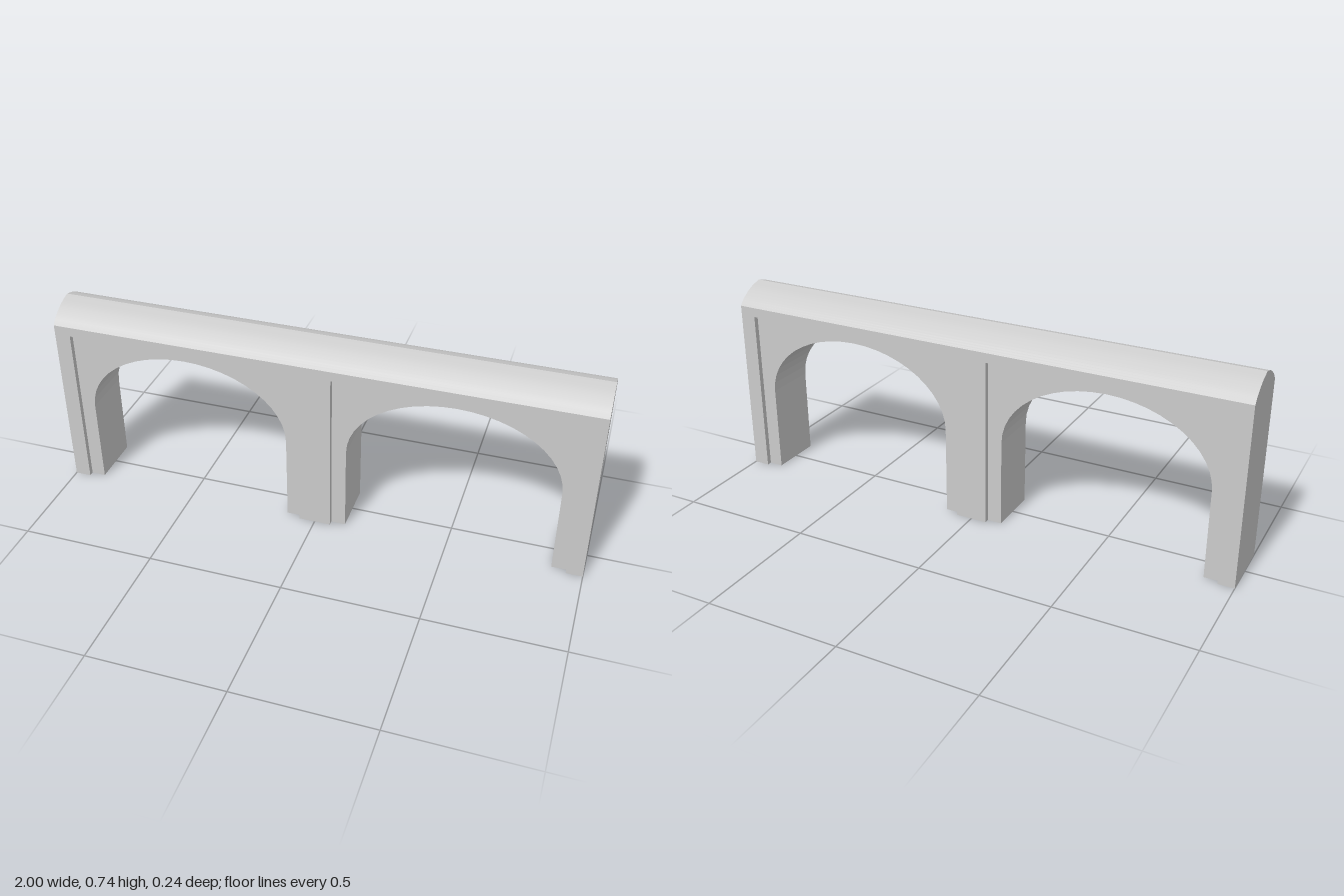
import * as THREE from 'three';
import { toCreasedNormals } from 'three/addons/utils/BufferGeometryUtils.js';

const HALF = 0.119;   // half depth of the frame
const INSET = 0.1;    // half depth of the recessed arch panels
const EAVE = 0.672;   // bottom of the rounded coping
const V = (x, y) => new THREE.Vector2(x, y);

// Extrude a shape symmetrically about z = 0
function slab(shape, halfDepth) {
  const geo = new THREE.ExtrudeGeometry(shape, { depth: halfDepth * 2, bevelEnabled: false });
  return geo.translate(0, 0, -halfDepth);
}

export function createModel() {
  const group = new THREE.Group();
  const material = new THREE.MeshStandardMaterial({ color: 0xcccccc });
  const add = (name, geo) => {
    const mesh = new THREE.Mesh(geo, material);
    mesh.name = name;
    group.add(mesh);
    return mesh;
  };

  // Outer frame: three posts and a top beam around two bays
  const frame = [V(-1, 0)];
  for (const cx of [-0.5, 0.5]) {
    frame.push(V(cx - 0.44, 0), V(cx - 0.44, 0.636), V(cx + 0.44, 0.636), V(cx + 0.44, 0));
  }
  frame.push(V(1, 0), V(1, EAVE), V(-1, EAVE));
  add('frame', slab(new THREE.Shape(frame), HALF));

  // Recessed panels, each cut by an elliptical arch on straight jambs
  const rx = 0.386, spring = 0.33, rise = 0.27, steps = 24;
  const panel = [V(0.44, 0), V(0.44, 0.636), V(-0.44, 0.636), V(-0.44, 0), V(-rx, 0)];
  for (let i = 0; i <= steps; i++) {
    const a = Math.PI * (1 - i / steps);
    panel.push(V(rx * Math.cos(a), spring + rise * Math.sin(a)));
  }
  panel.push(V(rx, 0));
  const panelGeo = slab(new THREE.Shape(panel), INSET);
  add('rightArchPanel', panelGeo).position.x = -0.5;
  add('leftArchPanel', panelGeo).position.x = 0.5;

  // Rounded coping with a slight ridge, running the full length
  const side = new THREE.SplineCurve([
    V(HALF, EAVE), V(0.097, 0.697), V(0.05, 0.727), V(0, 0.743),
  ]).getPoints(12);
  const mirrored = side.slice(0, -1).reverse().map((p) => V(-p.x, p.y));
  const coping = slab(new THREE.Shape([...side, ...mirrored]), 1);
  add('coping', toCreasedNormals(coping.rotateY(Math.PI / 2), 0.45));

  return group;
}
